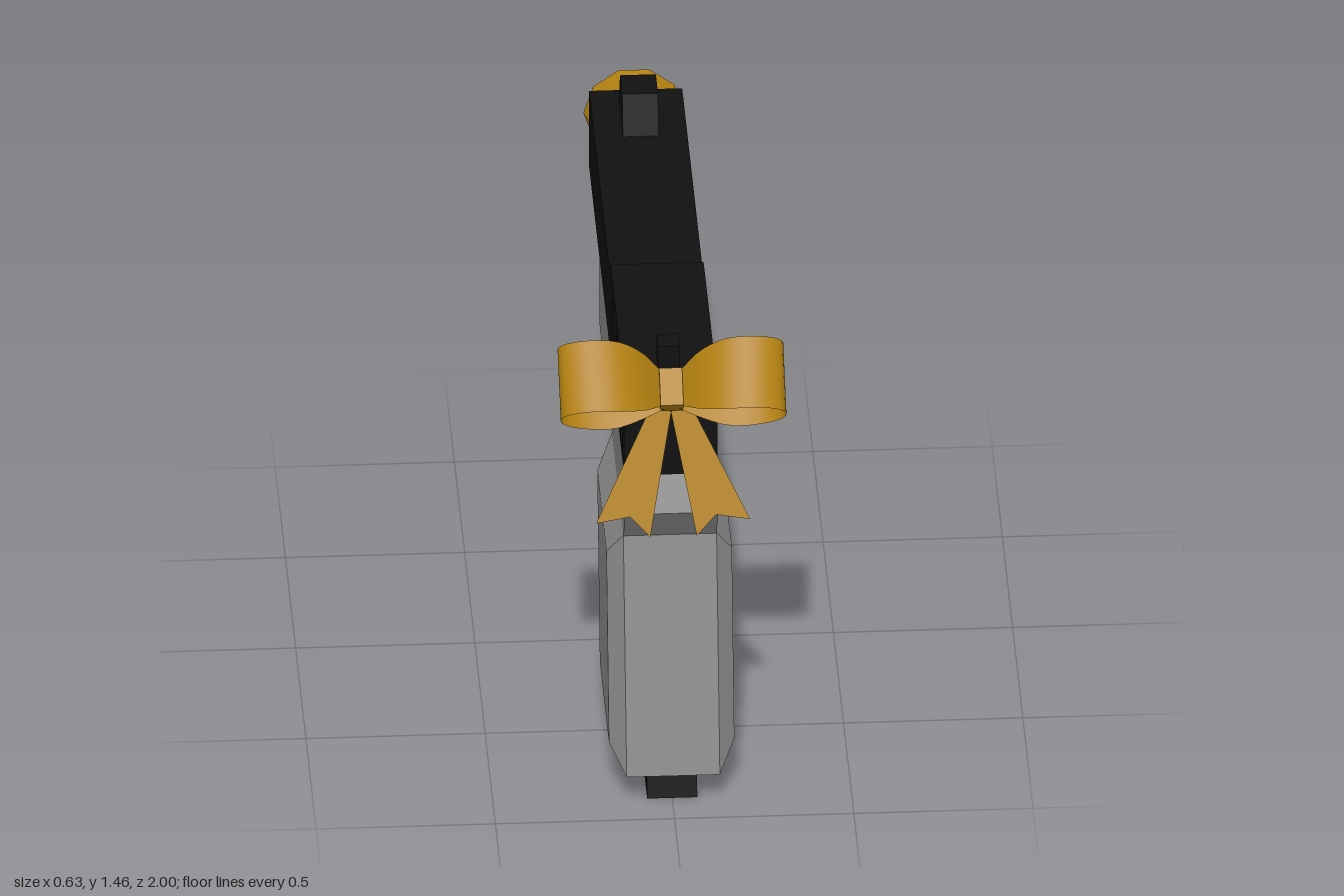
import * as THREE from 'three';

const black = new THREE.MeshStandardMaterial({ color: 0x111112 });
black.name = 'black metal';
const grey = new THREE.MeshStandardMaterial({ color: 0x8a8a8a });
grey.name = 'grey polymer';
const gold = new THREE.MeshStandardMaterial({ color: 0xb07f10 });
gold.name = 'gold';
const ribbon = new THREE.MeshStandardMaterial({ color: 0xb07f10, side: THREE.DoubleSide });
ribbon.name = 'gold ribbon';

const toPoints = (list) => list.map(([a, b]) => new THREE.Vector2(a, b));

// Faceted normals
function facet(geometry) {
  const g = geometry.index ? geometry.toNonIndexed() : geometry;
  g.computeVertexNormals();
  return g;
}

// Extrudes a [z, y] side profile across x, from -half to +half
function sideSlab(profile, half, holes = []) {
  const shape = new THREE.Shape(toPoints(profile));
  for (const h of holes) shape.holes.push(new THREE.Path(toPoints(h)));
  const g = new THREE.ExtrudeGeometry(shape, { depth: half * 2, bevelEnabled: false });
  return g.translate(0, 0, -half).rotateY(-Math.PI / 2);
}

// Joins sections (arrays of [x, y, z] with equal counts) into a skin
function loft(sections, closed) {
  const n = sections[0].length, index = [];
  const span = closed ? n : n - 1;
  for (let i = 0; i < sections.length - 1; i++) {
    for (let j = 0; j < span; j++) {
      const a = i * n + j, b = i * n + (j + 1) % n;
      index.push(a, b, a + n, b, b + n, a + n);
    }
  }
  if (closed) {
    const last = (sections.length - 1) * n;
    for (let j = 1; j < n - 1; j++) {
      index.push(0, j + 1, j, last, last + j, last + j + 1);
    }
  }
  const g = new THREE.BufferGeometry();
  g.setAttribute('position', new THREE.Float32BufferAttribute(sections.flat(2), 3));
  g.setIndex(index);
  g.computeVertexNormals();
  return g;
}

// Faceted ring pointing along -z
function ring(profile, sides, y, z) {
  const g = new THREE.LatheGeometry(toPoints(profile), sides, Math.PI / 2);
  return facet(g.rotateX(-Math.PI / 2).translate(0, y, z));
}

export function createModel() {
  const model = new THREE.Group();
  const add = (name, geometry, material, parent = model) => {
    const mesh = new THREE.Mesh(geometry, material);
    mesh.name = name;
    parent.add(mesh);
    return mesh;
  };

  // Slide with three recessed slots on each side
  const slots = [0.66, 0.46, 0.26];
  const slotHoles = slots.map((z) => [
    [z - 0.04, 1.02], [z - 0.04, 1.23], [z + 0.04, 1.23], [z + 0.04, 1.02],
  ]);
  add('slide', sideSlab([
    [0.81, 1.0], [0.81, 1.245], [0.76, 1.29], [0.14, 1.29], [0.08, 1.24], [-0.905, 1.24], [-0.905, 1.0],
  ], 0.13, slotHoles), black);
  add('slideCore', new THREE.BoxGeometry(0.2, 0.22, 0.56).translate(0, 1.12, 0.46), black);
  for (const z of slots) {
    for (const s of [-1, 1]) {
      add('slotInlay', new THREE.BoxGeometry(0.009, 0.19, 0.06).translate(s * 0.104, 1.122, z), gold);
    }
  }

  // Sights
  add('rearSight', new THREE.BoxGeometry(0.06, 0.08, 0.07).translate(0, 1.32, 0.685), black);
  add('frontSight', sideSlab([
    [-0.645, 1.235], [-0.685, 1.355], [-0.79, 1.355], [-0.855, 1.235],
  ], 0.05), black);

  // Frame and the narrower rail under the barrel
  add('frame', sideSlab([
    [0.81, 1.0], [0.855, 0.9], [0.775, 0.785], [0.21, 0.785], [0.21, 0.865], [-0.05, 0.865],
    [-0.07, 0.79], [-0.385, 0.79], [-0.385, 1.0],
  ], 0.13), grey);
  add('accessoryRail', new THREE.BoxGeometry(0.21, 0.16, 0.51).translate(0, 0.92, -0.63), grey);

  // Grip with chamfered sides
  const outer = [[0.775, 0.787], [0.935, 0.1], [0.372, 0.1], [0.21, 0.787]];
  const inner = [[0.735, 0.715], [0.857, 0.17], [0.415, 0.17], [0.288, 0.715]];
  const section = (profile, x) => profile.map(([z, y]) => [x, y, z]);
  add('grip', facet(loft([
    section(inner, -0.175), section(outer, -0.13), section(outer, 0.13), section(inner, 0.175),
  ], true)), grey);
  add('magazineBase', sideSlab([[0.86, 0.105], [0.885, 0], [0.462, 0], [0.438, 0.105]], 0.07), black);

  // Trigger and its guard
  add('trigger', sideSlab([[0.21, 0.87], [0.1, 0.645], [0.27, 0.63]], 0.04), black);
  add('triggerGuard', sideSlab([
    [0.3, 0.5], [0.3, 0.545], [-0.07, 0.575], [-0.07, 0.8], [-0.12, 0.8], [-0.12, 0.528],
  ], 0.075), black);

  // Muzzle ring and guide rod tip
  add('muzzleRing', ring([
    [0.065, 0], [0.11, 0], [0.14, 0.095], [0.065, 0.095], [0.065, 0],
  ], 10, 1.115, -0.905), gold);
  add('guideRodTip', ring([
    [0.02, 0], [0.05, 0], [0.064, 0.05], [0.02, 0.05], [0.02, 0],
  ], 8, 0.912, -0.885), gold);

  // Bow: h rises away from the knot, a runs across the ribbon width
  const bow = new THREE.Group();
  bow.name = 'bow';
  model.add(bow);
  const place = (x, h, a) => [x, 1.265 + 0.75 * h + 0.66 * a, 0.81 + 0.66 * h - 0.75 * a];
  const path = new THREE.CatmullRomCurve3([
    [0.01, 0.02, 0.05], [0.07, 0.008, 0.075], [0.16, 0, 0.103], [0.25, 0.015, 0.105], [0.3, 0.05, 0.105],
    [0.315, 0.09, 0.105], [0.3, 0.13, 0.105], [0.235, 0.16, 0.105], [0.15, 0.15, 0.103],
    [0.08, 0.1, 0.085], [0.03, 0.04, 0.055], [0.01, 0.025, 0.05],
  ].map((p) => new THREE.Vector3(...p)));
  const steps = path.getPoints(30);
  for (const s of [-1, 1]) {
    add(s > 0 ? 'leftLoop' : 'rightLoop', loft(steps.map((p) => [
      place(s * p.x, p.y, -p.z), place(s * p.x, p.y, p.z),
    ]), false), ribbon, bow);

    // Hanging tail with a swallow-tail end, leaning outward
    const tail = new THREE.ShapeGeometry(new THREE.Shape(toPoints([
      [0, 1.21], [0.015, 1.24], [0.06, 1.22], [0.215, 0.92], [0.12, 0.935], [0.065, 0.88],
    ].map(([x, y]) => [s * x, y]))));
    const pos = tail.attributes.position;
    for (let i = 0; i < pos.count; i++) pos.setZ(i, 0.825 + (1.22 - pos.getY(i)) * 0.36);
    tail.computeVertexNormals();
    add(s > 0 ? 'leftTail' : 'rightTail', tail, ribbon, bow);
  }
  const knotSection = (x) => [[0, -0.055], [0.05, -0.055], [0.05, 0.055], [0, 0.055]].map(([h, a]) => place(x, h, a));
  const knot = facet(loft([knotSection(-0.032), knotSection(0.032)], true));
  add('knot', knot, ribbon, bow);

  return model;
}
